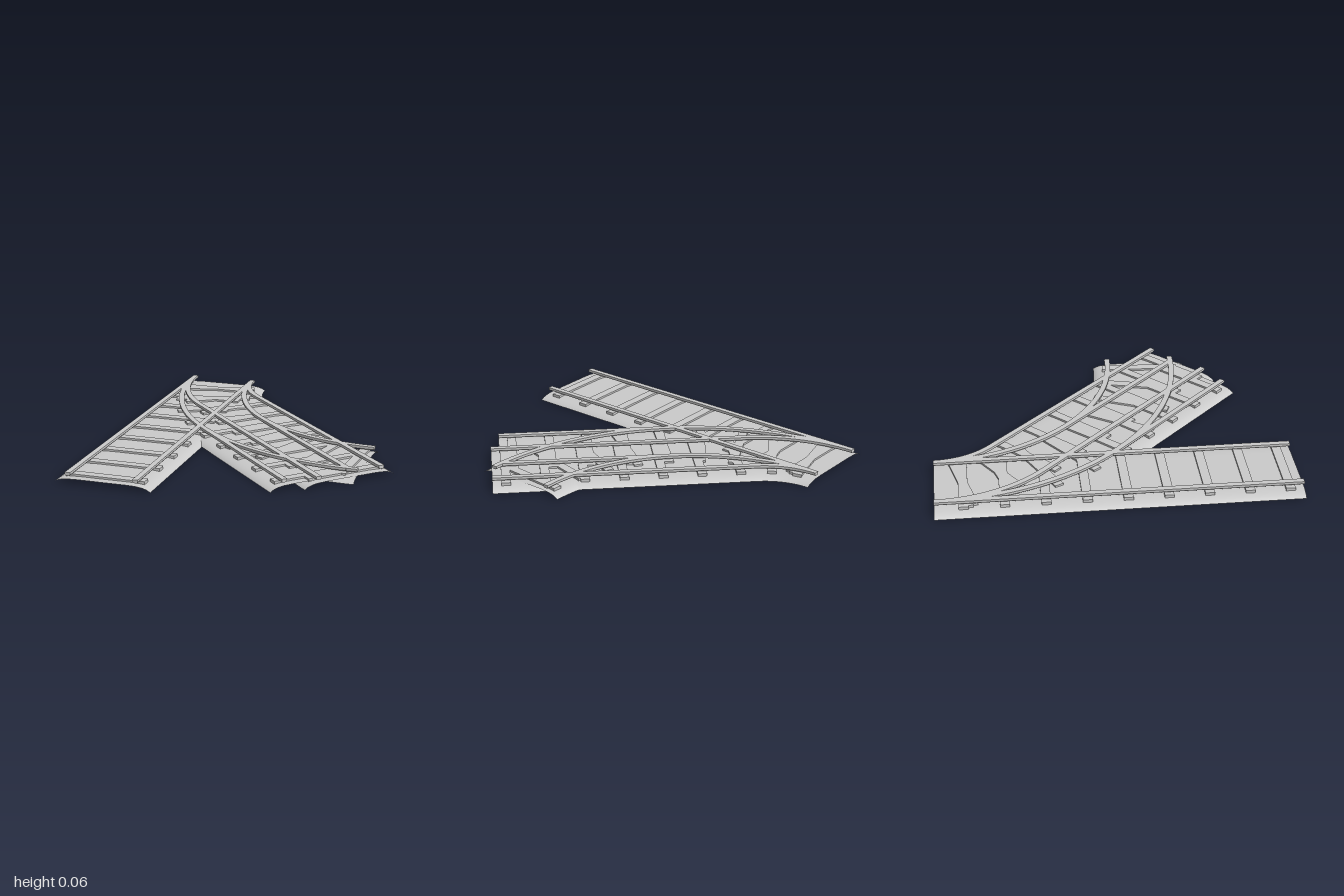
import * as THREE from 'three';
import { toCreasedNormals } from 'three/addons/utils/BufferGeometryUtils.js';

const START = { x: -0.58, z: -1 };
const LENGTH = 2, GAUGE = 0.195;

// Every route leaves the same point heading +z, bends towards +x, then runs straight.
const ROUTES = [
  { name: 'straightTrack', radius: 1, angle: 0 },
  { name: 'tightDivergingTrack', radius: 0.65, angle: Math.PI / 4 },
  { name: 'wideDivergingTrack', radius: 1.27, angle: Math.PI / 4 },
  { name: 'quarterTurnTrack', radius: 1.27, angle: Math.PI / 2 },
];

// Profiles are (sideways, up), anticlockwise seen from the end of the track.
const BED = [
  [0.28, 0], [0.273, 0.006], [0.258, 0.014], [0.235, 0.021], [0.2, 0.026], [0.15, 0.028],
  [-0.15, 0.028], [-0.2, 0.026], [-0.235, 0.021], [-0.258, 0.014], [-0.273, 0.006], [-0.28, 0],
];
const railProfile = (u) => [
  [u - 0.011, 0.045], [u + 0.011, 0.045], [u + 0.016, 0.053],
  [u + 0.016, 0.064], [u - 0.016, 0.064], [u - 0.016, 0.053],
];

// Position and heading at a distance along a route
function frameAt({ radius, angle }, s) {
  const a = Math.min(s / radius, angle);
  const rest = angle > 0 ? Math.max(0, s - radius * angle) : s;
  return {
    x: START.x + radius * (1 - Math.cos(a)) + rest * Math.sin(a),
    z: START.z + radius * Math.sin(a) + rest * Math.cos(a),
    a,
  };
}

// Distances at which a route needs a cross-section
function stations({ radius, angle }) {
  const bend = Math.min(radius * angle, LENGTH), n = Math.round(angle * 28);
  const list = [0];
  for (let i = 1; i <= n; i++) list.push((bend * i) / n);
  if (LENGTH - bend > 0.01) list.push(LENGTH);
  return list;
}

// Sweep a profile along a route, optionally as a closed solid with end caps
function sweep(route, profile, closed) {
  const pos = [], index = [], n = profile.length, stops = stations(route);
  for (const s of stops) {
    const f = frameAt(route, s);
    for (const [u, y] of profile) pos.push(f.x + u * Math.cos(f.a), y, f.z - u * Math.sin(f.a));
  }
  const edges = closed ? n : n - 1;
  for (let i = 0; i < stops.length - 1; i++) {
    for (let k = 0; k < edges; k++) {
      const a = i * n + k, b = i * n + ((k + 1) % n);
      index.push(a, b, b + n, a, b + n, a + n);
    }
  }
  if (closed) {
    const e = (stops.length - 1) * n;
    for (let k = 1; k < n - 1; k++) index.push(0, k + 1, k, e, e + k, e + k + 1);
  }
  const geo = new THREE.BufferGeometry();
  geo.setAttribute('position', new THREE.Float32BufferAttribute(pos, 3));
  geo.setIndex(index);
  geo.computeVertexNormals();
  return closed ? toCreasedNormals(geo, 0.5) : geo;
}

export function createModel() {
  const model = new THREE.Group();
  model.name = 'railJunction';
  const grey = new THREE.MeshStandardMaterial({ color: 0xcccccc });
  const shell = new THREE.MeshStandardMaterial({ color: 0xcccccc, side: THREE.DoubleSide });
  const sleeperGeo = new THREE.BoxGeometry(0.456, 0.022, 0.052);

  for (const route of ROUTES) {
    const track = new THREE.Group();
    track.name = route.name;
    const add = (name, geo, mat) => {
      const mesh = new THREE.Mesh(geo, mat);
      mesh.name = name;
      track.add(mesh);
      return mesh;
    };

    // Ballast bed: a thin open shell with rounded shoulders
    add('ballastBed', sweep(route, BED, false), shell);

    // Pair of rails
    add('leftRail', sweep(route, railProfile(GAUGE), true), grey);
    add('rightRail', sweep(route, railProfile(-GAUGE), true), grey);

    // Sleepers
    for (let i = 0; i < 9; i++) {
      const f = frameAt(route, 0.157 + 0.2207 * i);
      const sleeper = add('sleeper', sleeperGeo, grey);
      sleeper.position.set(f.x, 0.028, f.z);
      sleeper.rotation.y = f.a;
    }
    model.add(track);
  }
  return model;
}
